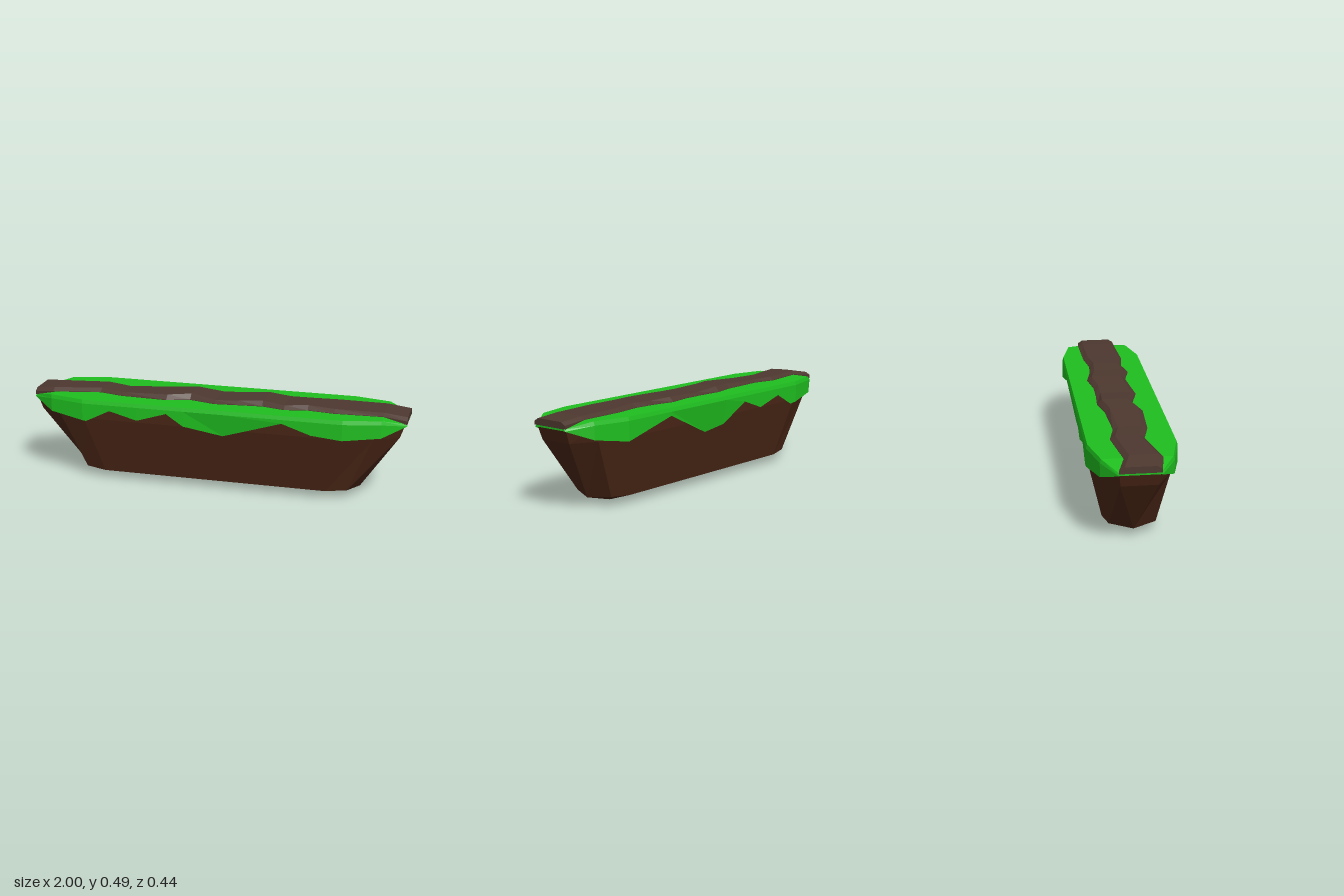
import * as THREE from 'three';

const material = (color, side = THREE.FrontSide) =>
  new THREE.MeshStandardMaterial({ color, flatShading: true, side });

// Skins a grid of points (rows of equal length) with flat triangles.
function loft(rows, closed = false) {
  const pos = [];
  const tri = (a, b, c) => {
    const n = b.clone().sub(a).cross(c.clone().sub(a));
    if (n.length() > 1e-9) for (const p of [a, b, c]) pos.push(p.x, p.y, p.z);
  };
  for (let i = 0; i < rows.length - 1; i++) {
    const lower = rows[i], upper = rows[i + 1], n = lower.length;
    for (let j = 0; j < (closed ? n : n - 1); j++) {
      const k = (j + 1) % n;
      tri(lower[j], lower[k], upper[k]);
      tri(lower[j], upper[k], upper[j]);
    }
  }
  const geometry = new THREE.BufferGeometry();
  geometry.setAttribute('position', new THREE.Float32BufferAttribute(pos, 3));
  geometry.computeVertexNormals();
  return geometry;
}

function part(name, geometry, mat) {
  const mesh = new THREE.Mesh(geometry, mat);
  mesh.name = name;
  return mesh;
}

// Piecewise linear lookup in a list of [x, value].
function lerpAt(list, x) {
  for (let i = 1; i < list.length; i++) {
    const [x0, v0] = list[i - 1], [x1, v1] = list[i];
    if (x <= x1) return v0 + (v1 - v0) * (x - x0) / (x1 - x0);
  }
  return list[list.length - 1][1];
}

// Mirrors a quarter outline of [x, y, z] into a full ring.
function ring(quarter) {
  const side = (sx, sz) => quarter.map(([x, y, z]) => new THREE.Vector3(sx * x, y, sz * z));
  return [...side(1, 1), ...side(1, -1).reverse(), ...side(-1, -1), ...side(-1, 1).reverse()];
}

// Tapered earth block with a keel-shaped underside
function makeSoil() {
  const rings = [
    [[0.6, 0, 0], [0.6, 0, 0], [0.6, 0, 0]],
    [[0.6, 0.045, 0.137], [0.71, 0.053, 0.115], [0.76, 0.042, 0]],
    [[0.69, 0.355, 0.205], [0.84, 0.355, 0.16], [0.965, 0.355, 0.09]],
    [[0.69, 0.425, 0.21], [0.87, 0.425, 0.168], [0.99, 0.425, 0.095]],
  ];
  return part('soil', loft(rings.map(ring), true), material(0x4a2616));
}

// Turf with ragged hanging edges; each list gives [x, height of the hem]
function makeGrass() {
  const group = new THREE.Group();
  group.name = 'grass';
  const mat = material(0x1fbe1f, THREE.DoubleSide);
  const frontHem = [
    [-1, 0.42], [-0.88, 0.37], [-0.67, 0.345], [-0.54, 0.41], [-0.39, 0.37], [-0.23, 0.42],
    [-0.14, 0.36], [0.07, 0.32], [0.38, 0.42], [0.53, 0.37], [0.69, 0.355], [0.88, 0.37], [1, 0.42],
  ];
  const backHem = [
    [-1, 0.42], [-0.88, 0.37], [-0.64, 0.34], [-0.52, 0.405], [-0.36, 0.36], [-0.22, 0.41],
    [-0.06, 0.31], [0.09, 0.29], [0.38, 0.42], [0.69, 0.34], [0.88, 0.37], [1, 0.42],
  ];
  const halfWidth = [[-1, 0.1], [-0.88, 0.175], [-0.69, 0.22], [0.69, 0.22], [0.88, 0.175], [1, 0.1]];
  const topHeight = [[-1, 0.43], [-0.88, 0.46], [0.88, 0.46], [1, 0.43]];

  for (const [name, hem, s] of [['frontGrass', frontHem, 1], ['backGrass', backHem, -1]]) {
    const stations = [...new Set([...hem.map((p) => p[0]), -0.69, 0.69])].sort((a, b) => a - b);
    const rows = stations.map((x) => {
      const z = lerpAt(halfWidth, x), top = lerpAt(topHeight, x), low = lerpAt(hem, x);
      const hemZ = low < 0.335 ? 0.145 + 0.18 * low : z;
      const row = [[0, top], [z - 0.006, top], [z, Math.max(top - 0.02, low)], [hemZ, low]]
        .map(([pz, y]) => new THREE.Vector3(x, y, s * pz));
      return s > 0 ? row : row.reverse();
    });
    group.add(part(name, loft(rows), mat));
  }
  // Thin turf lip under each end of the path
  for (const s of [-1, 1]) {
    const lip = part('grassEnd', new THREE.BoxGeometry(0.012, 0.01, 0.2), mat);
    lip.position.set(s * 0.99, 0.425, 0);
    group.add(lip);
  }
  return group;
}

// Uneven trodden path: [x, back edge z, front edge z, top height]
function makePath() {
  const stations = [
    [-1, -0.1, 0.1, 0.463], [-0.89, -0.065, 0.12, 0.478], [-0.64, -0.1, 0.068, 0.478],
    [-0.51, -0.07, 0.1, 0.473], [-0.26, -0.082, 0.112, 0.484], [-0.14, -0.108, 0.075, 0.488],
    [0, -0.1, 0.112, 0.474], [0.12, -0.1, 0.1, 0.478], [0.25, -0.12, 0.088, 0.484],
    [0.37, -0.095, 0.118, 0.478], [0.49, -0.085, 0.095, 0.482], [0.63, -0.105, 0.112, 0.478],
    [0.88, -0.11, 0.1, 0.475], [1, -0.1, 0.105, 0.463],
  ];
  const rows = stations.map(([x, back, front, top]) => {
    const atEnd = Math.abs(x) === 1;
    const low = atEnd ? 0.43 : 0.45, mid = atEnd ? 0.448 : 0.462;
    return [[back, low], [back, mid], [back + 0.025, top], [front - 0.025, top], [front, mid], [front, low]]
      .map(([z, y]) => new THREE.Vector3(x, y, z));
  });
  // Close both ends by collapsing to a centre point
  const cap = (row) => row.map(() => new THREE.Vector3(row[0].x, 0.446, 0));
  const all = [cap(rows[0]), ...rows, cap(rows[rows.length - 1])];
  return part('path', loft(all, true), material(0x4d382f));
}

export function createModel() {
  const model = new THREE.Group();
  model.name = 'floatingPlatform';
  model.add(makeSoil(), makeGrass(), makePath());
  return model;
}
